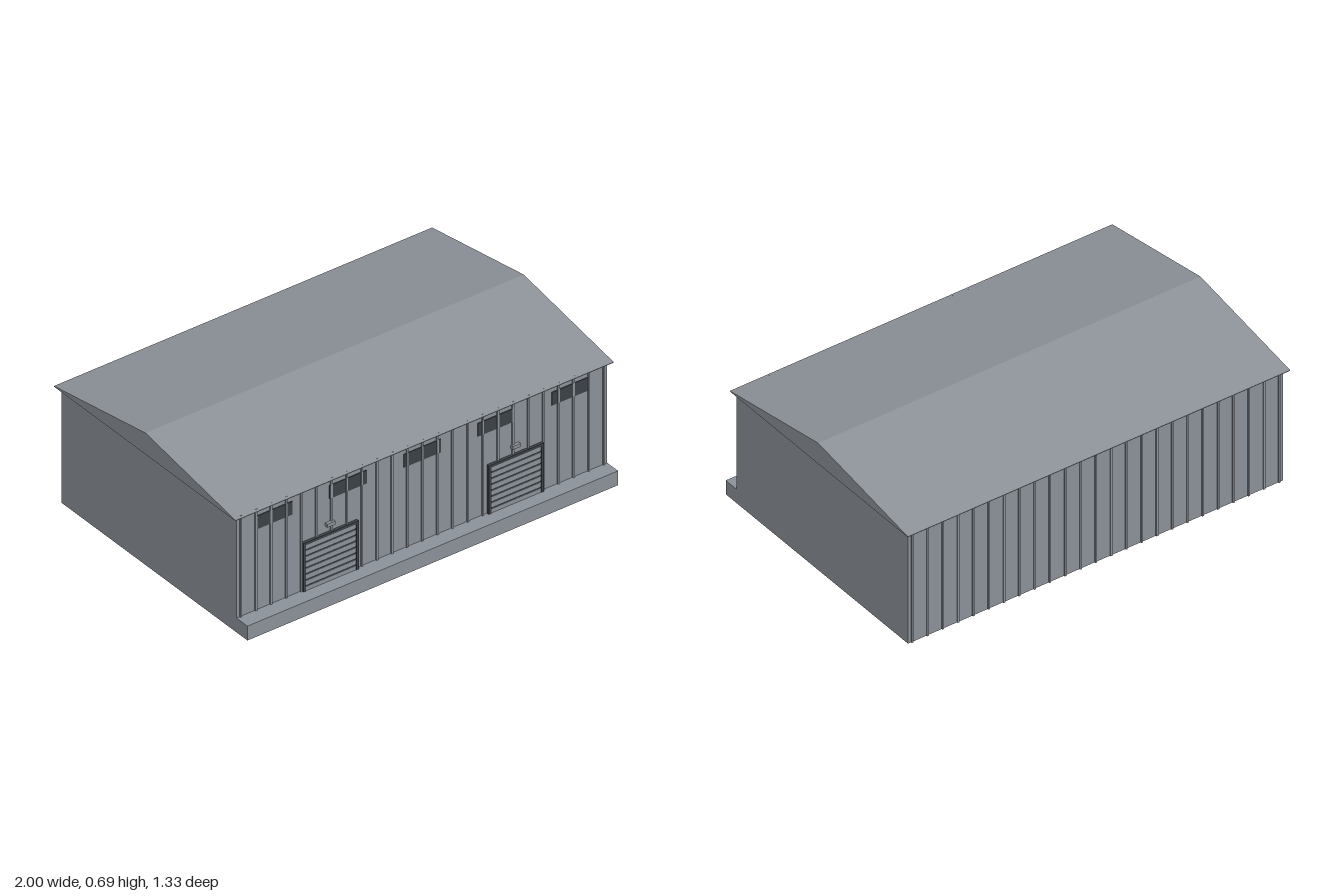
import * as THREE from 'three';

const cladding = new THREE.MeshStandardMaterial({ color: 0x8b9198, side: THREE.DoubleSide });
cladding.name = 'grey cladding';
const dark = new THREE.MeshStandardMaterial({ color: 0x3b4047 });
dark.name = 'dark glass and frames';

const HALF = 0.98, FRONT = 0.59, BACK = -0.641, EAVE = 0.585, DOCK = 0.073, DOCK_Z = 0.667;

function add(parent, name, geometry, material, x = 0, y = 0, z = 0) {
  const mesh = new THREE.Mesh(geometry, material);
  mesh.name = name;
  mesh.position.set(x, y, z);
  parent.add(mesh);
  return mesh;
}

// Box given by its centre x, vertical range and depth range
function block(parent, name, material, x, width, y0, y1, z0, z1) {
  return add(parent, name, new THREE.BoxGeometry(width, y1 - y0, z1 - z0), material,
    x, (y0 + y1) / 2, (z0 + z1) / 2);
}

function makeDoor(x) {
  const door = new THREE.Group();
  door.name = 'rollerDoor';
  const w = 0.292, top = 0.32, rim = 0.013, pitch = 0.0305;
  block(door, 'doorBacking', dark, x, w - rim, 0.002, top - rim / 2, FRONT, 0.598);
  // Frame posts and lintel
  for (const s of [-1, 1]) {
    block(door, 'doorPost', dark, x + s * (w - rim) / 2, rim, 0.002, top, FRONT, 0.604);
  }
  block(door, 'doorLintel', dark, x, w, top - rim, top, FRONT, 0.604);
  // Slats
  for (let i = 0; i < 8; i++) {
    const y = top - rim - i * pitch;
    block(door, 'doorSlat', cladding, x, w - 2 * rim, Math.max(y - 0.022, DOCK), y, 0.597, 0.601);
  }
  // Lamp above the door
  block(door, 'doorLamp', cladding, x, 0.042, 0.352, 0.369, FRONT, 0.606);
  return door;
}

export function createModel() {
  const model = new THREE.Group();
  model.name = 'warehouse';

  // Walls, open underneath
  for (const [name, z, turn] of [['frontWall', FRONT, 0], ['backWall', BACK, Math.PI]]) {
    add(model, name, new THREE.PlaneGeometry(2 * HALF, EAVE), cladding, 0, EAVE / 2, z).rotation.y = turn;
  }
  for (const s of [-1, 1]) {
    add(model, 'sideWall', new THREE.PlaneGeometry(FRONT - BACK, EAVE), cladding,
      s * HALF, EAVE / 2, (FRONT + BACK) / 2).rotation.y = s * Math.PI / 2;
    add(model, 'dockEnd', new THREE.PlaneGeometry(DOCK_Z - FRONT, DOCK), cladding,
      s * HALF, DOCK / 2, (FRONT + DOCK_Z) / 2).rotation.y = s * Math.PI / 2;
  }

  // Loading dock along the front
  add(model, 'dockFront', new THREE.PlaneGeometry(2 * HALF, DOCK), cladding, 0, DOCK / 2, DOCK_Z);
  add(model, 'dockTop', new THREE.PlaneGeometry(2 * HALF, DOCK_Z - FRONT), cladding,
    0, DOCK, (FRONT + DOCK_Z) / 2).rotation.x = -Math.PI / 2;

  // Gabled roof prism; shape x becomes -z after turning
  const profile = new THREE.Shape([
    [-0.61, EAVE], [0.667, EAVE], [0.667, EAVE + 0.003], [0.023, 0.694], [-0.61, EAVE + 0.003],
  ].map(([a, b]) => new THREE.Vector2(a, b)));
  const roof = new THREE.ExtrudeGeometry(profile, { depth: 2, bevelEnabled: false });
  roof.rotateY(Math.PI / 2).translate(-1, 0, 0);
  add(model, 'roof', roof, cladding);

  // Vertical cladding ribs, front and back
  for (let i = -12; i <= 12; i++) {
    block(model, 'frontRib', cladding, i * 0.08, 0.009, DOCK, 0.591, FRONT, 0.597);
    block(model, 'backRib', cladding, i * 0.08, 0.009, 0, 0.591, BACK - 0.006, BACK);
  }

  // High windows set behind the ribs
  for (const x of [-0.784, -0.392, 0, 0.392, 0.784]) {
    block(model, 'window', dark, x, 0.196, 0.484, 0.551, FRONT, 0.594);
  }

  for (const x of [-0.49, 0.49]) model.add(makeDoor(x));
  return model;
}
